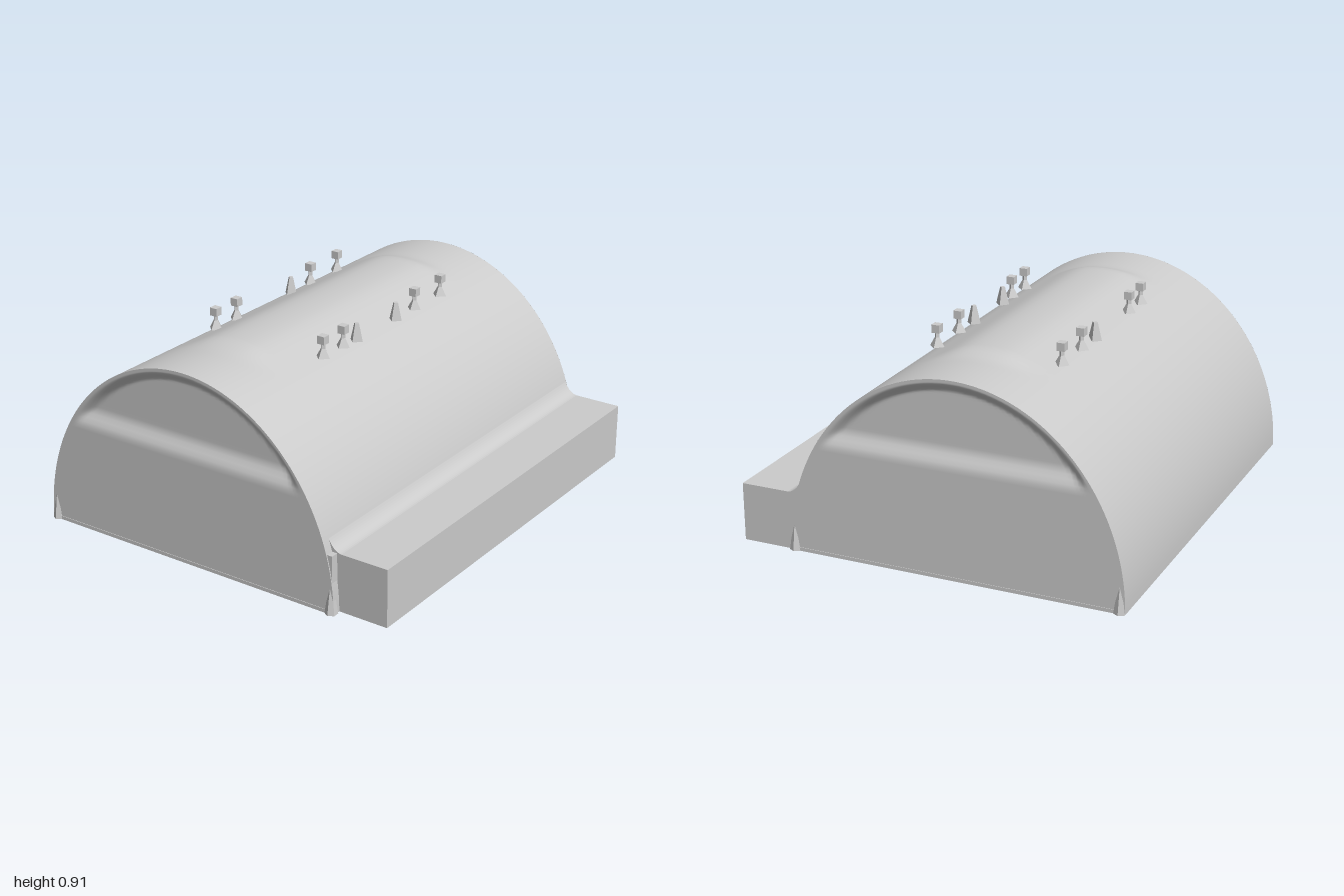
import * as THREE from 'three';

const CX = -0.115, A = 0.755, B = 0.868, END = 0.985; // vault centre, half width, height, half length
const smooth = THREE.MathUtils.smoothstep;

export function createModel() {
  const model = new THREE.Group();
  const grey = new THREE.MeshStandardMaterial({ color: 0xcccccc, side: THREE.DoubleSide });
  const faceted = new THREE.MeshStandardMaterial({ color: 0xcccccc, flatShading: true });

  const add = (name, geometry, material, x = 0, y = 0, z = 0, parent = model) => {
    const mesh = new THREE.Mesh(geometry, material);
    mesh.name = name;
    mesh.position.set(x, y, z);
    parent.add(mesh);
    return mesh;
  };

  // Bends a unit grid into a surface by a rule of (u, v)
  const surface = (nu, nv, rule) => {
    const g = new THREE.PlaneGeometry(1, 1, nu, nv);
    const p = g.attributes.position;
    for (let i = 0; i < p.count; i++) p.setXYZ(i, ...rule(p.getX(i) + 0.5, p.getY(i) + 0.5));
    g.computeVertexNormals();
    return g;
  };

  // Barrel roof with a low flat ridge along the crown
  add('vaultRoof', surface(64, 60, (u, v) => {
    const dx = -A * Math.cos(u * Math.PI);
    const z = END * (1 - 2 * v);
    const rise = (1 - smooth(Math.abs(dx), 0.08, 0.27)) * (1 - smooth(Math.abs(z), 0.62, 0.72));
    const y = B * Math.sin(u * Math.PI);
    return [CX + dx, y + rise * (0.886 - 0.864), z];
  }), grey);

  // End walls: plain below, with a shallow recessed arch above a sloping sill
  const wall = surface(48, 60, (u, v) => {
    const phi = v * Math.PI / 2;
    const dx = A * Math.cos(phi) * Math.sin((u - 0.5) * Math.PI);
    const y = B * Math.sin(phi);
    const r = Math.hypot(dx / A, y / B);
    const recess = 0.035 * smooth(y, 0.49, 0.57) * (1 - smooth(r, 0.93, 0.985));
    return [dx, y, -recess];
  });
  add('frontWall', wall, grey, CX, 0, END);
  add('backWall', wall, grey, CX, 0, -END).rotation.y = Math.PI;

  // Floor slab
  add('floorSlab', new THREE.BoxGeometry(1.505, 0.016, 1.975), grey, CX, 0.008, 0);

  // Low side annex with a fillet running into the roof
  const s = new THREE.Shape();
  s.moveTo(0.55, 0);
  s.lineTo(0.87, 0);
  s.lineTo(0.87, 0.26);
  s.lineTo(0.65, 0.26);
  s.quadraticCurveTo(0.605, 0.265, 0.58, 0.335);
  s.lineTo(0.55, 0.3);
  s.closePath();
  add('sideAnnex', new THREE.ExtrudeGeometry(s, { depth: 1.925, bevelEnabled: false }), grey, 0, 0, -0.98);

  // Small flared feet at the hall corners
  const foot = new THREE.CylinderGeometry(0.008, 0.028, 0.13, 6);
  for (const z of [-0.975, 0.975]) {
    add('cornerFoot', foot, faceted, CX - 0.73, 0.065, z);
    add('cornerFoot', foot, faceted, CX + 0.737, 0.065, z);
  }
  add('annexJoint', new THREE.BoxGeometry(0.05, 0.26, 0.05), grey, 0.605, 0.13, 0.955);

  // Roof vents: flared stems carrying small cubes, and bare stubs
  const flare = new THREE.CylinderGeometry(0.011, 0.034, 0.04, 4);
  const stem = new THREE.CylinderGeometry(0.011, 0.011, 0.05, 4);
  const cap = new THREE.BoxGeometry(0.036, 0.036, 0.036);
  const stub = new THREE.CylinderGeometry(0.012, 0.032, 0.08, 4);
  const vent = (x, z, capped) => {
    const g = new THREE.Group();
    g.name = capped ? 'roofVent' : 'roofStub';
    g.position.set(x, 0.815, z);
    if (capped) {
      add('ventFlare', flare, faceted, 0, 0.02, 0, g);
      add('ventStem', stem, faceted, 0, 0.055, 0, g);
      add('ventCap', cap, faceted, 0, 0.08, 0, g);
    } else add('stub', stub, faceted, 0, 0.035, 0, g);
    model.add(g);
  };
  for (const x of [-0.385, 0.185]) {
    for (const z of [-0.49, -0.28, 0.27, 0.415]) vent(x, z, true);
    vent(x, -0.13, false);
  }
  vent(0.185, 0.17, false);

  return model;
}
